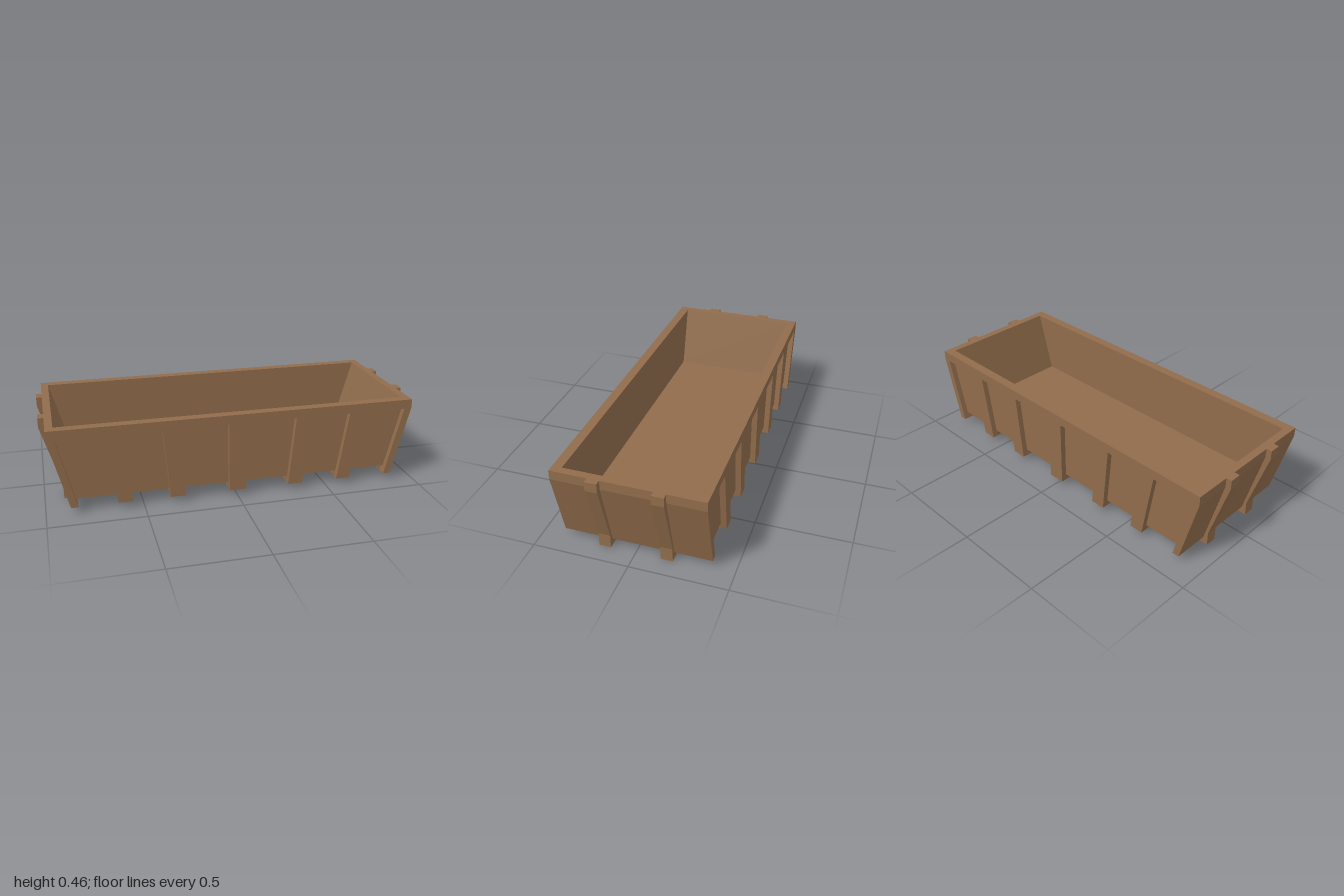
import * as THREE from 'three';

export function createModel() {
  const model = new THREE.Group();
  model.name = 'openContainer';
  const brown = new THREE.MeshStandardMaterial({ color: 0x906c4b });
  brown.name = 'brown';

  // Extrude a side profile (x, y points) from z0 to z1
  function slab(name, points, z0, z1) {
    const shape = new THREE.Shape(points.map(([x, y]) => new THREE.Vector2(x, y)));
    const geo = new THREE.ExtrudeGeometry(shape, { depth: z1 - z0, bevelEnabled: false });
    geo.translate(0, 0, z0);
    const mesh = new THREE.Mesh(geo, brown);
    mesh.name = name;
    model.add(mesh);
  }
  const rect = (x0, x1, y0, y1) => [[x0, y0], [x1, y0], [x1, y1], [x0, y1]];
  const mirror = (points, s) => points.map(([x, y]) => [x * s, y]);
  // Repeat a slab on the front and the back
  function pair(name, points, z0, z1) {
    slab(name + 'Front', points, z0, z1);
    slab(name + 'Back', points, -z1, -z0);
  }

  // Floor, recessed long walls and the rim above them
  slab('floor', rect(-0.85, 0.85, 0.07, 0.12), -0.345, 0.345);
  pair('longWall', [[-0.85, 0.07], [0.85, 0.07], [0.94, 0.42], [-0.94, 0.42]], 0.335, 0.355);
  pair('rim', rect(-0.97, 0.97, 0.41, 0.46), 0.335, 0.385);

  // Skids under the floor
  pair('skid', rect(-0.9, 0.9, 0, 0.075), 0.13, 0.192);

  // Sloping ends with corner posts and outer ribs
  for (const s of [-1, 1]) {
    const side = s > 0 ? 'left' : 'right';
    slab(side + 'EndWall', mirror([
      [0.837, 0.035], [0.874, 0.035], [0.97, 0.41], [0.97, 0.46], [0.93, 0.46], [0.835, 0.12],
    ], s), -0.335, 0.335);
    pair(side + 'CornerPost', mirror([
      [0.837, 0.035], [0.874, 0.035], [0.97, 0.41], [0.93, 0.41],
    ], s), 0.335, 0.385);
    pair(side + 'EndRib', mirror([
      [0.86, 0.04], [0.9, 0.04], [0.9, 0.075], [1, 0.41], [1, 0.46], [0.96, 0.46], [0.96, 0.41],
    ], s), 0.13, 0.192);
  }

  // Wall ribs fanning outward, joined by crossbars under the floor
  // Each row: bottom x0, x1 and top x0, x1
  const ribs = [[-0.045, 0.045, -0.05, 0.05]];
  for (const [a, b, c, d] of [[0.28, 0.36, 0.315, 0.395], [0.557, 0.632, 0.615, 0.695]]) {
    ribs.push([a, b, c, d], [-b, -a, -d, -c]);
  }
  for (const [a, b, c, d] of ribs) {
    pair('wallRib', [[a, 0.035], [b, 0.035], [d, 0.41], [c, 0.41]], 0.35, 0.385);
    slab('crossbar', rect(a, b, 0.035, 0.075), -0.35, 0.35);
  }

  return model;
}
